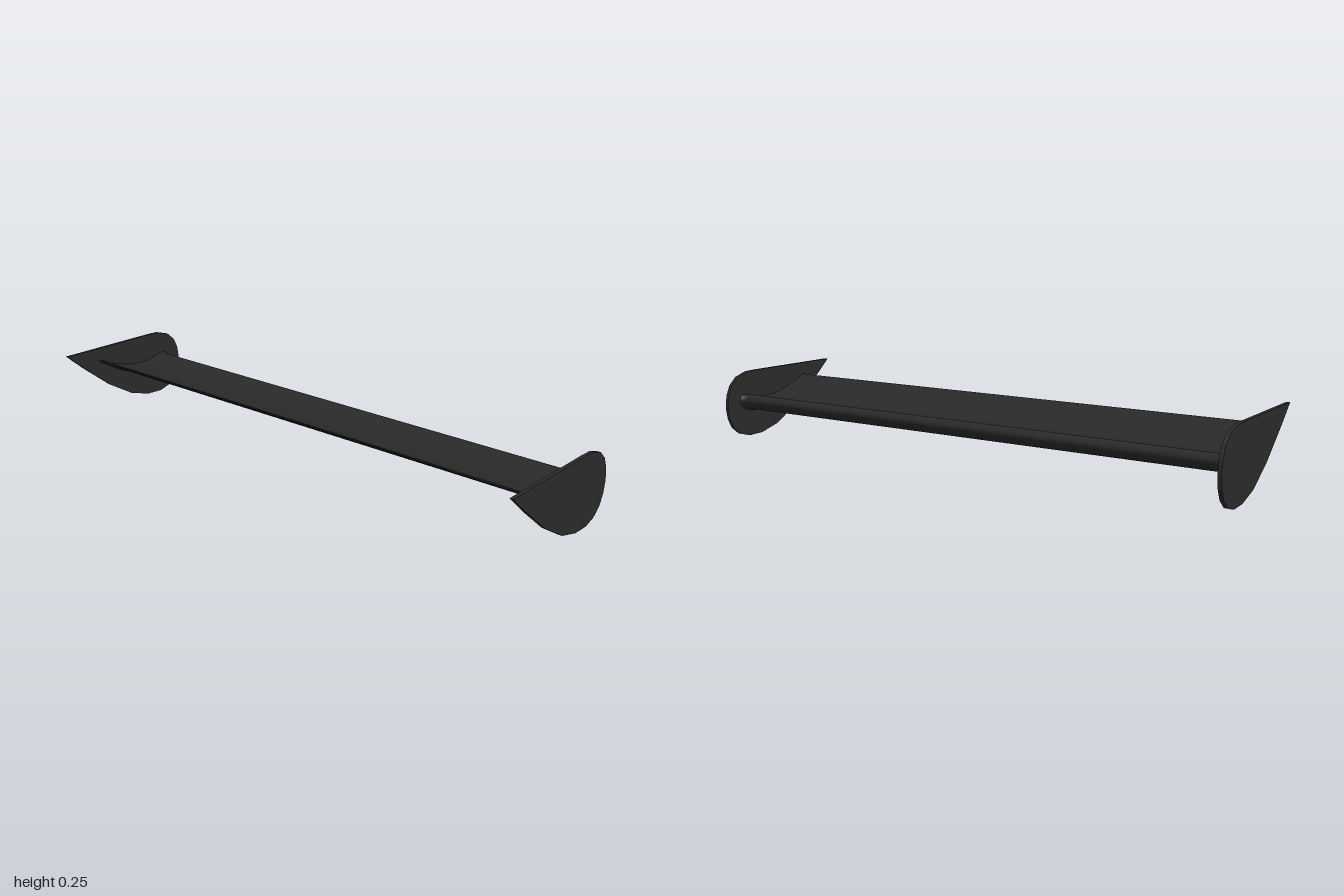
import * as THREE from 'three';

const material = new THREE.MeshStandardMaterial({ color: 0x2a2a2a, side: THREE.DoubleSide });

// Cambered aerofoil: trailing edge, along the underside, round the nose, back over the top
const aerofoil = new THREE.CatmullRomCurve3([
  [-0.13, 0.203], [-0.08, 0.173], [-0.02, 0.141], [0.05, 0.114], [0.12, 0.101],
  [0.17, 0.106], [0.2, 0.124], [0.21, 0.144], [0.202, 0.16], [0.185, 0.165],
  [0.15, 0.158], [0.1, 0.149], [0.04, 0.151], [-0.02, 0.165], [-0.08, 0.186], [-0.13, 0.208],
].map(([x, y]) => new THREE.Vector3(x, y, 0)), false, 'centripetal').getPoints(60);

// Wing span lofted along z, flaring slightly where it meets the end plates
function wingGeometry() {
  const rows = [[-0.99, 1.1], [-0.979, 1], [-0.96, 1], [0.96, 1], [0.979, 1], [0.99, 1.1]];
  const n = aerofoil.length;
  const positions = [], index = [];
  rows.forEach(([z, s], r) => {
    aerofoil.forEach((p, i) => {
      positions.push(0.05 + (p.x - 0.05) * s, 0.15 + (p.y - 0.15) * s, z);
      if (r < rows.length - 1 && i < n - 1) {
        const a = r * n + i, b = a + 1;
        index.push(a, b, b + n, a, b + n, a + n);
      }
    });
    // blunt trailing edge
    if (r < rows.length - 1) {
      const a = r * n + n - 1, b = r * n;
      index.push(a, b, b + n, a, b + n, a + n);
    }
  });
  const geometry = new THREE.BufferGeometry();
  geometry.setAttribute('position', new THREE.Float32BufferAttribute(positions, 3));
  geometry.setIndex(index);
  geometry.computeVertexNormals();
  return geometry;
}

// Teardrop end plate with a straight top edge
const plateShape = new THREE.Shape([
  [-0.285, 0.255], [-0.21, 0.19], [-0.087, 0.092], [0.023, 0.027], [0.11, 0.003],
  [0.178, 0.001], [0.225, 0.015], [0.26, 0.044], [0.278, 0.082], [0.285, 0.126],
  [0.279, 0.17], [0.262, 0.208], [0.23, 0.237], [0.18, 0.253], [0.13, 0.255],
].map(([x, y]) => new THREE.Vector2(x, y)));

export function createModel() {
  const group = new THREE.Group();
  group.name = 'wing';

  const span = new THREE.Mesh(wingGeometry(), material);
  span.name = 'wingSpan';
  group.add(span);

  const thickness = 0.013;
  const plateGeometry = new THREE.ExtrudeGeometry(plateShape, { depth: thickness, bevelEnabled: false });
  for (const [name, z] of [['frontEndPlate', 1 - thickness], ['backEndPlate', -1]]) {
    const plate = new THREE.Mesh(plateGeometry, material);
    plate.name = name;
    plate.position.z = z;
    group.add(plate);
  }
  return group;
}
